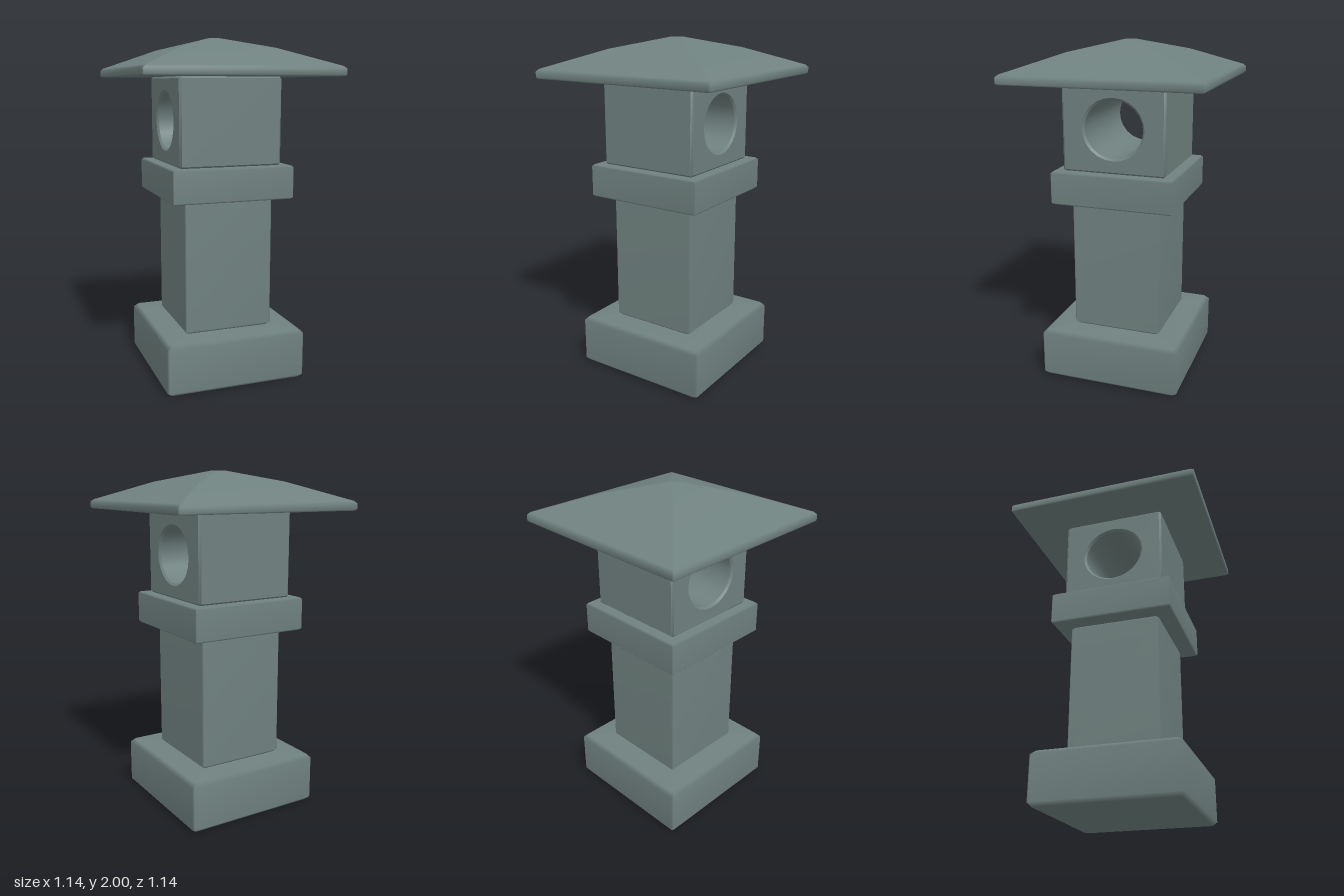
import * as THREE from 'three';
import { toCreasedNormals } from 'three/addons/utils/BufferGeometryUtils.js';

// Outline of a square with small chamfered corners, counter-clockwise
function squareOutline(h, c) {
  const k = h - c;
  return [[h, -k], [h, k], [k, h], [-k, h], [-h, k], [-h, -k], [-k, -h], [k, -h]];
}

// Smooth solid through square rings, each [half width, height], from bottom to top
function squareLoft(rings, chamfer) {
  const pos = [], index = [], n = 8;
  for (const [h, y] of rings) {
    for (const [x, z] of squareOutline(h, Math.min(chamfer, h * 0.3))) pos.push(x, y, -z);
  }
  const last = (rings.length - 1) * n;
  const bottom = rings.length * n, top = bottom + 1;
  pos.push(0, rings[0][1], 0, 0, rings[rings.length - 1][1], 0);
  for (let j = 0; j < n; j++) {
    const k = (j + 1) % n;
    for (let r = 0; r < last; r += n) {
      index.push(r + j, r + k, r + n + k, r + j, r + n + k, r + n + j);
    }
    index.push(bottom, k, j, top, last + j, last + k);
  }
  const geo = new THREE.BufferGeometry();
  geo.setAttribute('position', new THREE.Float32BufferAttribute(pos, 3));
  geo.setIndex(index);
  geo.computeVertexNormals();
  return geo;
}

// Block with bevelled edges
function block(half, y0, y1, bevel) {
  return squareLoft([
    [half - bevel, y0], [half, y0 + bevel], [half, y1 - bevel], [half - bevel, y1],
  ], bevel * 0.5);
}

// Square lamp housing with a round opening running through it along x
function housing(half, y0, y1, bevel) {
  const h = half - bevel, mid = (y0 + y1) / 2, hy = (y1 - y0) / 2 - bevel;
  const shape = new THREE.Shape(
    squareOutline(h, 0.006).map(([x, y]) => new THREE.Vector2(x, y * hy / h)));
  const hole = new THREE.Path();
  hole.absellipse(0, 0, 0.173 + bevel, 0.165 + bevel, 0, Math.PI * 2, true);
  shape.holes.push(hole);
  const geo = new THREE.ExtrudeGeometry(shape, {
    depth: 2 * h, curveSegments: 12, bevelSize: bevel, bevelThickness: bevel, bevelSegments: 1,
  });
  geo.translate(0, 0, -h);
  geo.rotateY(Math.PI / 2);
  geo.translate(0, mid, 0);
  return toCreasedNormals(geo, 0.7);
}

export function createModel() {
  const model = new THREE.Group();
  model.name = 'stoneLantern';
  const stone = new THREE.MeshStandardMaterial({ color: 0x6f817f });
  stone.name = 'grey green stone';

  const add = (name, geo) => {
    const mesh = new THREE.Mesh(geo, stone);
    mesh.name = name;
    model.add(mesh);
  };

  add('base', block(0.42, 0, 0.3, 0.022));
  add('pillar', block(0.267, 0.3, 1.085, 0.016));
  add('collar', block(0.361, 1.082, 1.275, 0.01));
  add('lampHousing', housing(0.304, 1.273, 1.78, 0.012));

  // Shallow pyramid roof with a thin rim and a slight break in the slope
  add('roof', squareLoft([
    [0.562, 1.778], [0.57, 1.786], [0.57, 1.818], [0.556, 1.832],
    [0.28, 1.937], [0.03, 2],
  ], 0.008));

  return model;
}
